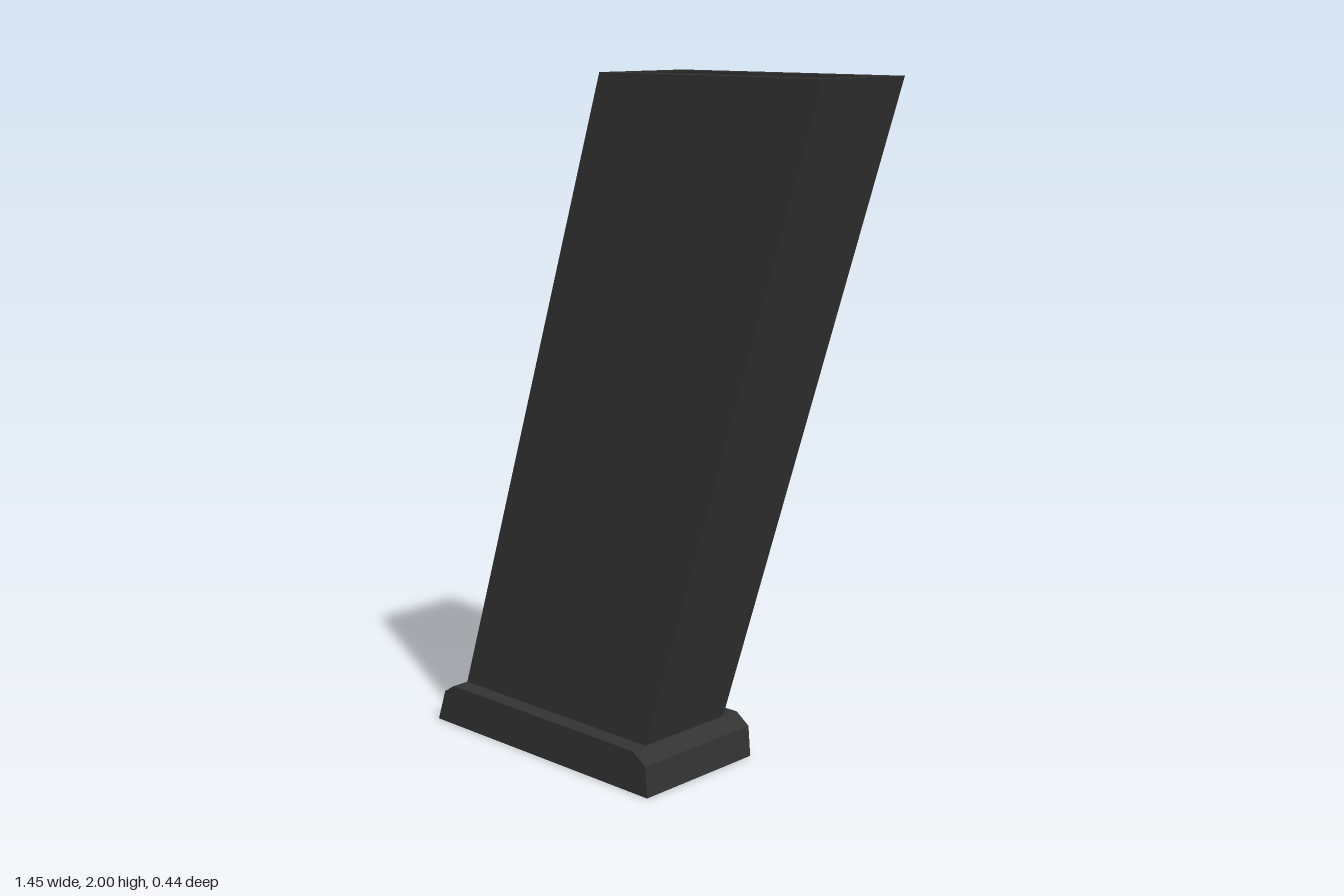
import * as THREE from 'three';

const BASE_TOP = 0.125;
const SLOPE = 0.32; // sideways lean per unit of height

// Rectangle at height y, sheared along the lean, anticlockwise from above
function ring(y, x0, x1, halfDepth) {
  const s = (y - 2) * SLOPE;
  return [[x0 + s, y, halfDepth], [x1 + s, y, halfDepth], [x1 + s, y, -halfDepth], [x0 + s, y, -halfDepth]];
}

// Joins successive four-cornered rings with flat faces and caps the last one
function loft(rings) {
  const pos = [];
  const quad = (a, b, c, d) => [a, b, c, a, c, d].forEach((p) => pos.push(...p));
  for (let r = 0; r < rings.length - 1; r++) {
    for (let i = 0; i < 4; i++) {
      const j = (i + 1) % 4;
      quad(rings[r][i], rings[r][j], rings[r + 1][j], rings[r + 1][i]);
    }
  }
  quad(...rings[rings.length - 1]);
  const geometry = new THREE.BufferGeometry();
  geometry.setAttribute('position', new THREE.Float32BufferAttribute(pos, 3));
  geometry.computeVertexNormals();
  return geometry;
}

export function createModel() {
  const group = new THREE.Group();
  group.name = 'slantedMagazine';
  const darkGrey = new THREE.MeshStandardMaterial({ color: 0x333333 });
  darkGrey.name = 'darkGrey';

  // Leaning case: outer walls, rim, inner walls, then the recess floor
  const body = new THREE.Mesh(loft([
    ring(BASE_TOP, -0.05, 0.72, 0.165),
    ring(2, -0.05, 0.72, 0.165),
    ring(2, -0.02, 0.69, 0.114),
    ring(1.33, -0.02, 0.69, 0.114),
  ]), darkGrey);
  body.name = 'body';

  // Foot plate with chamfered ends
  const profile = new THREE.Shape([
    [-0.725, 0], [0.18, 0], [0.172, 0.092], [0.125, BASE_TOP], [-0.65, BASE_TOP], [-0.692, 0.098],
  ].map(([x, y]) => new THREE.Vector2(x, y)));
  const baseGeometry = new THREE.ExtrudeGeometry(profile, { depth: 0.44, bevelEnabled: false });
  baseGeometry.translate(0, 0, -0.22);
  const base = new THREE.Mesh(baseGeometry, darkGrey);
  base.name = 'basePlate';

  group.add(body, base);
  return group;
}
